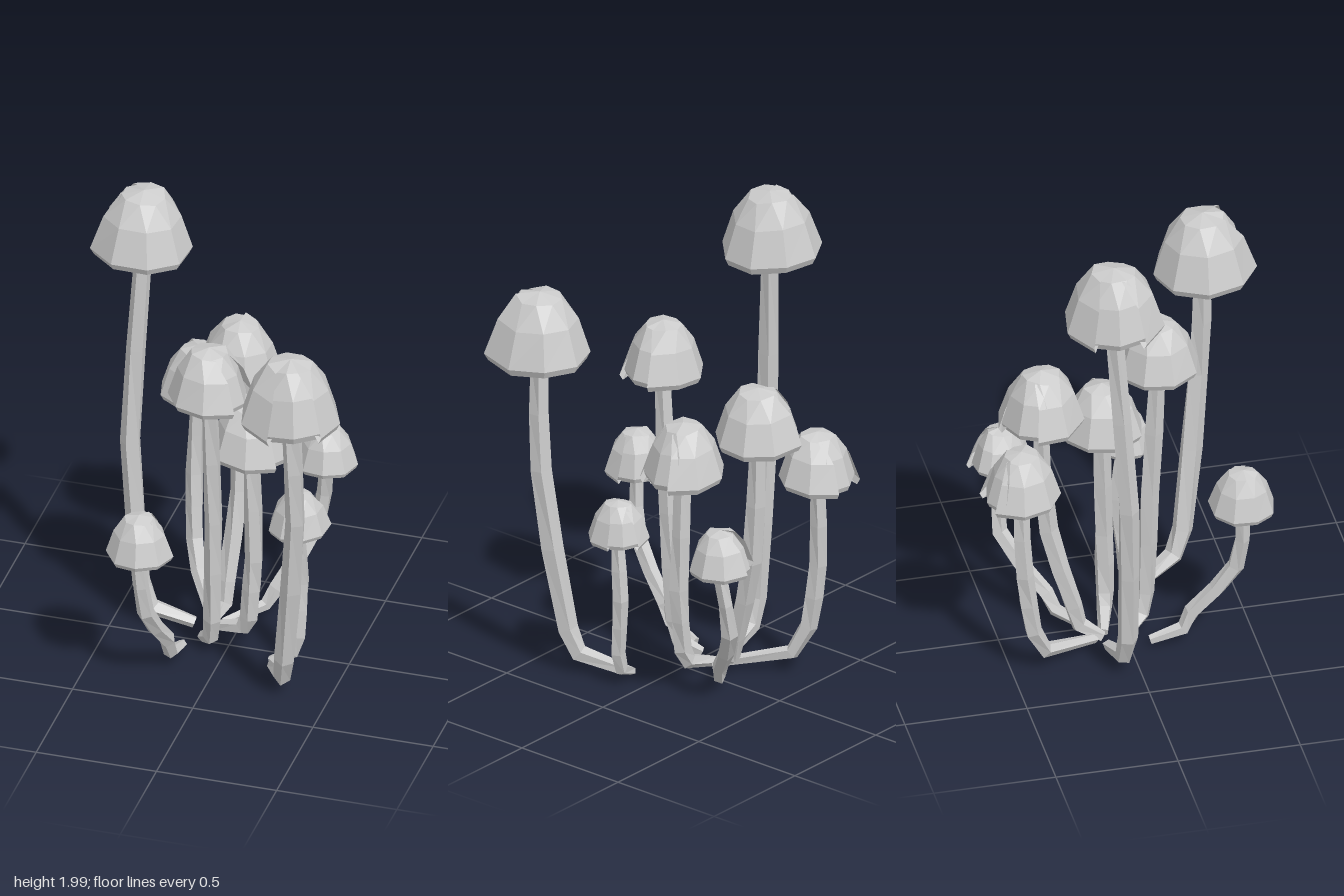
import * as THREE from 'three';

const material = new THREE.MeshStandardMaterial({ color: 0xcccccc, flatShading: true, side: THREE.DoubleSide });

// small repeatable noise in -1..1
let seed = 11;
const noise = () => {
  seed = (seed * 16807) % 2147483647;
  return (seed / 2147483647) * 2 - 1;
};

// faceted surface through rows of points
function skin(rows) {
  const corners = [];
  for (let i = 0; i < rows.length - 1; i++) {
    for (let j = 0; j < rows[i].length - 1; j++) {
      const a = rows[i][j], b = rows[i][j + 1], c = rows[i + 1][j + 1], d = rows[i + 1][j];
      corners.push(a, b, c, a, c, d);
    }
  }
  const geometry = new THREE.BufferGeometry().setFromPoints(corners);
  geometry.computeVertexNormals();
  return geometry;
}

// cap cross-section as [radius, height]: outside, lip, hollow underside
const profile = [[0, 1], [0.45, 0.92], [0.77, 0.6], [1, 0.1], [0.93, 0], [0.8, 0.07], [0.64, 0.45], [0.3, 0.68], [0, 0.74]];

// one sector of a cap; flare widens its two free edges towards the rim
function capPanel(from, to, size, flare) {
  const cols = Math.max(2, Math.round((to - from) / 42));
  const columns = [];
  for (let j = 0; j <= cols; j++) {
    const t = j / cols;
    const edge = Math.abs(2 * t - 1) ** 4;
    const angle = THREE.MathUtils.degToRad(from + (to - from) * t);
    const wobble = noise();
    columns.push(profile.map(([r, h], k) => {
      const reach = r * (1 + r * (size + flare * edge) + wobble * 0.03);
      const lift = r > 0 ? wobble * 0.035 : 0;
      const a = angle + (k === 1 ? 0.25 : 0);
      return new THREE.Vector3(Math.cos(a) * reach, h + lift, Math.sin(a) * reach);
    }));
  }
  return skin(columns);
}

// five-sided stem along a bent path from root to cap
function stemGeometry(path, radius) {
  const last = path.length - 1;
  const frame = new THREE.Quaternion();
  const axis = new THREE.Vector3(0, 1, 0);
  const rows = path.map((p, i) => {
    const back = p.clone().sub(path[Math.max(i - 1, 0)]).normalize();
    const ahead = path[Math.min(i + 1, last)].clone().sub(p).normalize();
    const dir = back.add(ahead).normalize();
    frame.premultiply(new THREE.Quaternion().setFromUnitVectors(axis, dir));
    axis.copy(dir);
    const r = radius * (i === 0 ? 0.65 : 0.85 + 0.3 * Math.sin((Math.PI * i) / last));
    const row = [];
    for (let j = 0; j < 5; j++) {
      const a = (j / 5) * Math.PI * 2 + i * 0.12;
      const k = r * (1 + 0.1 * noise());
      row.push(new THREE.Vector3(Math.cos(a) * k, 0, Math.sin(a) * k).applyQuaternion(frame).add(p));
    }
    row.push(row[0]);
    return row;
  });
  rows.unshift(rows[0].map(() => path[0])); // closed root end
  return skin(rows);
}

// stem path: a low foot from the root, then a curve through elbow and middle up into the cap
function stemPath(root, elbow, middle, neck, inside) {
  const knee = root.clone().lerp(elbow, 0.8).setY(root.y + 0.35 * (elbow.y - root.y));
  const rise = new THREE.CatmullRomCurve3([elbow, middle, neck]).getPoints(4);
  return [root, knee, ...rise, inside];
}

// cap: x, z, radius, top; tuck: start angle of the inset panel; root: x, z; elbow and middle: x, y, z
const mushrooms = [
  { cap: [-0.39, -0.12, 0.195, 2.0], tuck: 150, root: [-0.17, -0.09], elbow: [-0.38, 0.2, -0.06], middle: [-0.43, 0.85, -0.07] },
  { cap: [0.385, 0.425, 0.2, 1.67], tuck: 35, root: [0.22, 0.13], elbow: [0.33, 0.2, 0.33], middle: [0.4, 0.9, 0.41] },
  { cap: [-0.04, 0.14, 0.165, 1.48], tuck: -25, root: [-0.11, 0], elbow: [-0.04, 0.18, 0.09], middle: [-0.03, 0.65, 0.11] },
  { cap: [-0.055, -0.34, 0.17, 1.32], tuck: 190, root: [-0.11, -0.1], elbow: [-0.07, 0.18, -0.21], middle: [-0.05, 0.55, -0.31] },
  { cap: [0.075, -0.06, 0.165, 1.13], tuck: -25, root: [-0.08, -0.09], elbow: [0.07, 0.13, -0.05], middle: [0.09, 0.4, -0.05] },
  { cap: [-0.27, -0.47, 0.155, 1.09], tuck: 225, root: [-0.11, -0.13], elbow: [-0.27, 0.22, -0.42], middle: [-0.28, 0.5, -0.46] },
  { cap: [-0.24, 0.445, 0.13, 0.84], tuck: 290, root: [-0.17, 0.08], elbow: [-0.18, 0.15, 0.25], middle: [-0.22, 0.37, 0.42] },
  { cap: [0.28, -0.425, 0.125, 0.84], tuck: 205, root: [-0.06, -0.12], elbow: [0.11, 0.13, -0.28], middle: [0.24, 0.37, -0.44] },
  { cap: [0.31, 0.08, 0.12, 0.83], tuck: 275, root: [0.2, 0.1], elbow: [0.31, 0.16, 0.08], middle: [0.32, 0.4, 0.06] },
];

export function createModel() {
  const model = new THREE.Group();
  model.name = 'mushroomCluster';

  for (const { cap: [x, z, radius, top], tuck, root, elbow, middle } of mushrooms) {
    const mushroom = new THREE.Group();
    mushroom.name = 'mushroom';
    const height = 1.48 * radius;
    const rim = top - height;

    // stem, reaching up into the hollow of the cap
    const path = stemPath(
      new THREE.Vector3(root[0], 0.035, root[1]),
      new THREE.Vector3(...elbow),
      new THREE.Vector3(...middle),
      new THREE.Vector3(x, rim, z),
      new THREE.Vector3(x, rim + 0.75 * height, z),
    );
    const stem = new THREE.Mesh(stemGeometry(path, 0.013 + 0.13 * radius), material);
    stem.name = 'stem';

    // cap: a wide panel whose edges overlap a tucked-in one
    const cap = new THREE.Group();
    cap.name = 'cap';
    cap.position.set(x, rim, z);
    cap.scale.set(radius, height, radius);
    const wide = new THREE.Mesh(capPanel(tuck + 64, tuck + 366, 0.01, 0.09), material);
    wide.name = 'capWidePanel';
    const tucked = new THREE.Mesh(capPanel(tuck - 8, tuck + 78, -0.05, 0), material);
    tucked.name = 'capTuckedPanel';
    cap.add(wide, tucked);

    mushroom.add(stem, cap);
    model.add(mushroom);
  }
  return model;
}
